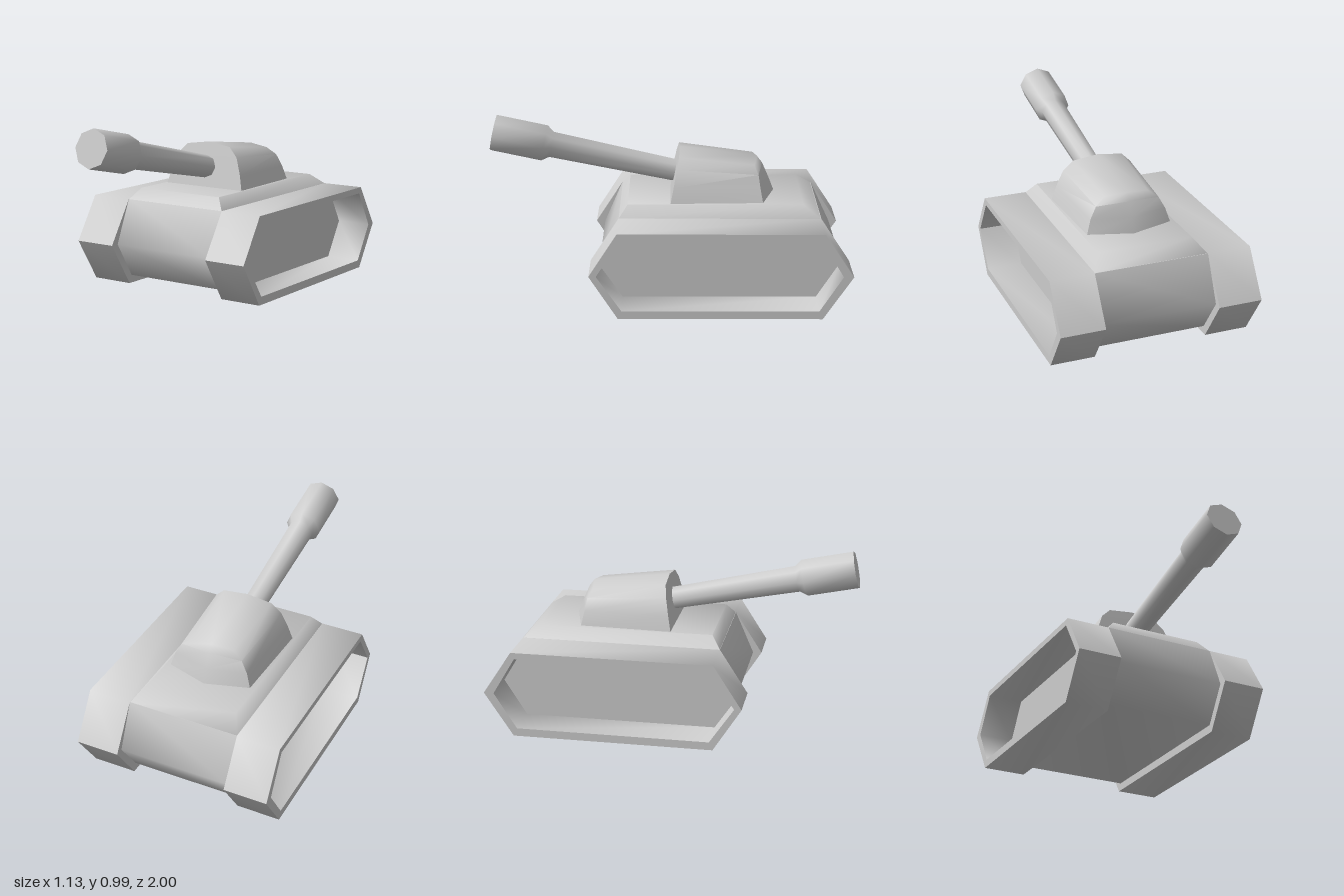
import * as THREE from 'three';
import { toCreasedNormals } from 'three/addons/utils/BufferGeometryUtils.js';

const material = new THREE.MeshStandardMaterial({ color: 0xcccccc });

function part(name, geometry, crease = 1.1) {
  const mesh = new THREE.Mesh(toCreasedNormals(geometry, crease), material);
  mesh.name = name;
  return mesh;
}

// Skin a list of closed rings (counter-clockwise about the loft direction) and cap both ends.
function loft(rings) {
  const pos = [];
  const tri = (a, b, c) => pos.push(...a, ...b, ...c);
  const n = rings[0].length;
  for (let k = 0; k + 1 < rings.length; k++) {
    const a = rings[k], b = rings[k + 1];
    for (let i = 0; i < n; i++) {
      const j = (i + 1) % n;
      tri(a[i], a[j], b[j]);
      tri(a[i], b[j], b[i]);
    }
  }
  const first = rings[0], last = rings[rings.length - 1];
  for (let i = 1; i + 1 < n; i++) {
    tri(first[0], first[i + 1], first[i]);
    tri(last[0], last[i], last[i + 1]);
  }
  const geometry = new THREE.BufferGeometry();
  geometry.setAttribute('position', new THREE.Float32BufferAttribute(pos, 3));
  return geometry;
}

// Side outlines as [z, y]
const trackOutline = [[0.27, 0], [0.425, 0.245], [0.27, 0.488], [-0.84, 0.488], [-1, 0.245], [-0.84, 0]];
const recessOutline = [[0.25, 0.045], [0.385, 0.245], [0.25, 0.453], [-0.82, 0.453], [-0.945, 0.245], [-0.82, 0.045]];
const hullOutline = [[0.25, 0.045], [0.375, 0.245], [0.27, 0.488], [-0.84, 0.488], [-0.955, 0.245], [-0.82, 0.045]];

// Place an outline at x, wound for a loft that runs toward the given side
function sideRing(outline, x, side) {
  const ring = outline.map(([z, y]) => [x * side, y, z]);
  return side > 0 ? ring.reverse() : ring;
}

function track(side) {
  return part(side > 0 ? 'leftTrack' : 'rightTrack', loft([
    sideRing(trackOutline, 0.318, side),
    sideRing(trackOutline, 0.563, side),
    sideRing(recessOutline, 0.563, side),
    sideRing(recessOutline, 0.36, side),
  ]));
}

function deckRing(x, y, front, back) {
  return [[-x, y, front], [x, y, front], [x, y, back], [-x, y, back]];
}

// Turret level: front corners, rear corners and a pointed rear middle
function turretRing([fx, fy, fz], [rx, ry, rz], [my, mz]) {
  return [[-fx, fy, fz], [fx, fy, fz], [rx, ry, rz], [0, my, mz], [-rx, ry, rz]];
}

export function createModel() {
  const model = new THREE.Group();
  model.name = 'tank';

  // Hull between the tracks, with a raised deck
  model.add(part('hull', loft([sideRing(hullOutline, -0.318, 1), sideRing(hullOutline, 0.318, 1)])));
  model.add(part('deck', loft([deckRing(0.318, 0.486, 0.27, -0.84), deckRing(0.265, 0.552, 0.22, -0.745)])));
  for (const side of [1, -1]) model.add(track(side));

  // Rounded turret, narrowing to a roof ridge
  model.add(part('turret', loft([
    turretRing([0.257, 0.55, -0.015], [0.24, 0.55, -0.525], [0.55, -0.597]),
    turretRing([0.235, 0.635, -0.032], [0.215, 0.63, -0.51], [0.63, -0.565]),
    turretRing([0.2, 0.73, -0.05], [0.18, 0.695, -0.5], [0.71, -0.53]),
    turretRing([0.145, 0.785, -0.062], [0.125, 0.735, -0.48], [0.75, -0.5]),
    turretRing([0, 0.805, -0.066], [0, 0.75, -0.5], [0.75, -0.5]),
  ])));

  // Raised eight-sided gun with a thicker muzzle
  const profile = [[0, 0], [0.063, 0], [0.075, 0.755], [0.105, 0.795], [0.105, 1.085], [0, 1.085]];
  const gun = new THREE.LatheGeometry(profile.map(([r, s]) => new THREE.Vector2(r, s)), 8);
  gun.rotateX(Math.PI / 2 - 0.212);
  gun.translate(0, 0.656, -0.085);
  model.add(part('gunBarrel', gun));

  return model;
}
